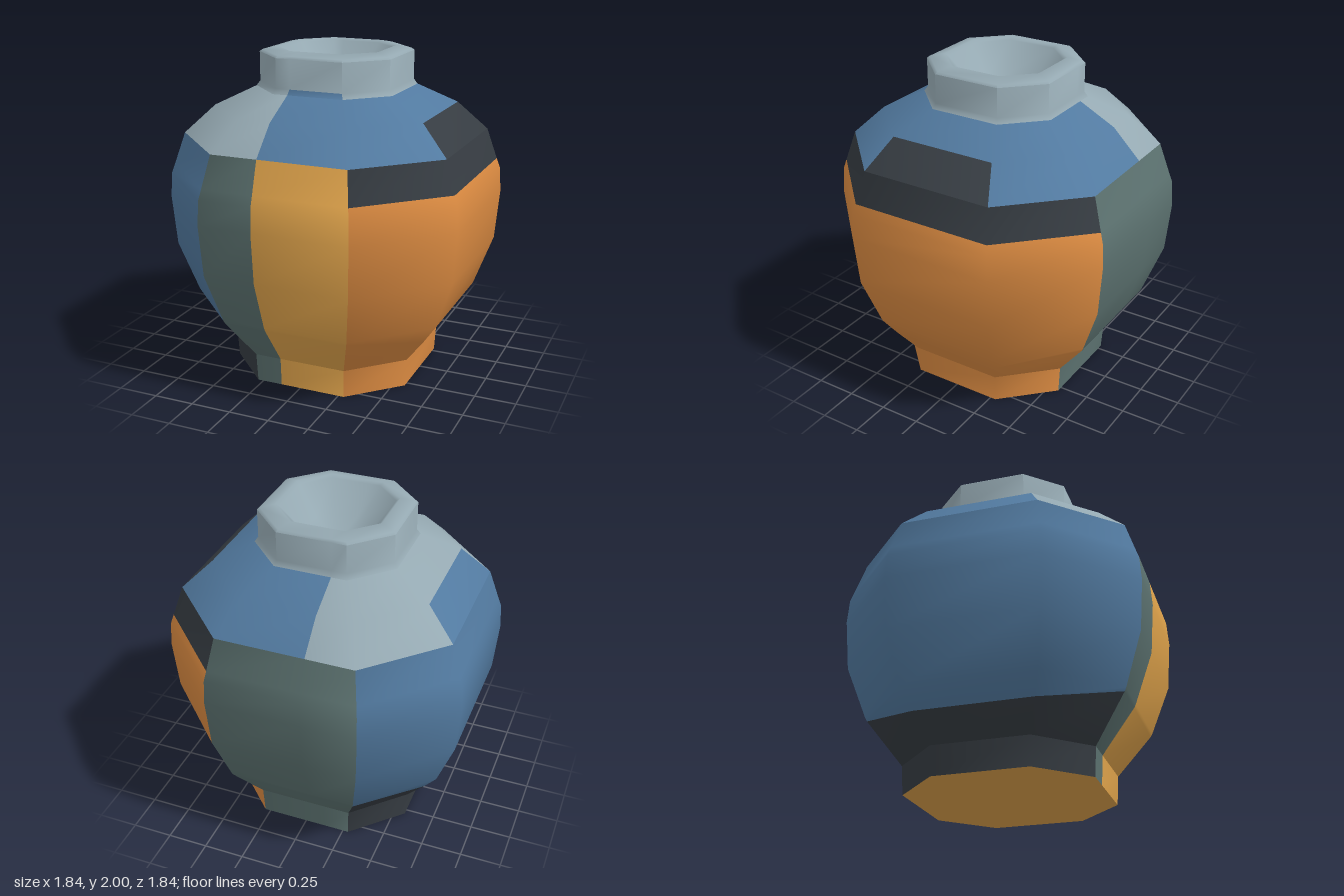
import * as THREE from 'three';
import { toCreasedNormals } from 'three/addons/utils/BufferGeometryUtils.js';

const paint = (name, color) => {
  const m = new THREE.MeshStandardMaterial({ color });
  m.name = name;
  return m;
};

// Eight-sided ring of half-width a, with an extra seam point on the front and back.
// The sides run: 0 front, 1 front corner, 2 right, 3 back corner, 4-5 back,
// 6 back corner, 7 left, 8 front corner, 9 front beside the seam.
function ring(a) {
  const b = a / 2, s = -Math.min(0.125, 0.58 * b);
  return [[s, a], [b, a], [a, b], [a, -b], [b, -a],
    [s, -a], [-b, -a], [-a, -b], [-a, b], [-b, a]];
}

// Each row is [half-width, height], or [half-width, height, half-width, height]
// where the second pair applies to the corners at the sides.
function band(name, rows, materials, pick) {
  const rings = rows.map(([a, y, a2 = a, y2 = y]) => {
    const outer = ring(a), side = ring(a2);
    return outer.map((p, i) => [2, 3, 7, 8].includes(i)
      ? [side[i][0], y2, side[i][1]] : [p[0], y, p[1]]);
  });
  const buckets = materials.map(() => []);
  for (let r = 0; r < rows.length - 1; r++) {
    for (let i = 0; i < 10; i++) {
      const j = (i + 1) % 10, lo = rings[r], hi = rings[r + 1];
      buckets[pick(r, i)].push(...lo[i], ...lo[j], ...hi[j], ...lo[i], ...hi[j], ...hi[i]);
    }
  }
  const geometry = new THREE.BufferGeometry();
  geometry.setAttribute('position', new THREE.Float32BufferAttribute(buckets.flat(), 3));
  let start = 0;
  buckets.forEach((bucket, k) => {
    const count = bucket.length / 3;
    if (count) geometry.addGroup(start, count, k);
    start += count;
  });
  const mesh = new THREE.Mesh(toCreasedNormals(geometry, 1.0), materials);
  mesh.name = name;
  return mesh;
}

export function createModel() {
  const group = new THREE.Group();
  group.name = 'vase';
  const materials = [
    paint('pale grey', 0x95a9b2), paint('blue', 0x527aa0), paint('charcoal', 0x363c42),
    paint('slate green', 0x5c7270), paint('gold', 0xe2a54c), paint('orange', 0xdd8c42),
  ];
  const [PALE, BLUE, DARK, SLATE, GOLD, ORANGE] = [0, 1, 2, 3, 4, 5];

  // Colour of each side, going round from the front
  const footSides = [GOLD, ORANGE, ORANGE, ORANGE, SLATE, SLATE, DARK, DARK, DARK, SLATE];
  const bodySides = [GOLD, ORANGE, ORANGE, ORANGE, SLATE, SLATE, BLUE, BLUE, BLUE, SLATE];

  group.add(band('foot', [[0.57, 0], [0.58, 0.175]], materials, (r, i) => footSides[i]));

  // Belly with a dark hem on the left and a dark collar on the right
  const bodyRows = [[0.58, 0.175], [0.775, 0.44, 0.703, 0.34], [0.785, 0.46], [0.895, 0.77],
    [0.92, 1.08], [0.91, 1.23], [0.89, 1.29], [0.83, 1.48]];
  group.add(band('body', bodyRows, materials, (r, i) => {
    if (r === 0) return footSides[i];
    if (r === bodyRows.length - 2 && i >= 1 && i <= 3) return DARK;
    return bodySides[i];
  }));

  // Two-tone shoulder with a patch on each side
  group.add(band('shoulder', [[0.83, 1.48], [0.66, 1.65], [0.435, 1.765]], materials, (r, i) => {
    if (r === 0 && i === 2) return DARK;
    if (r === 0 && i === 7) return BLUE;
    return i < 5 ? BLUE : PALE;
  }));

  // Neck, rim and the funnel inside
  const neckRows = [[0.435, 1.765], [0.415, 1.795], [0.415, 1.97], [0.4, 1.982], [0.32, 2],
    [0.3, 1.985], [0.18, 1.82], [0.003, 1.74]];
  group.add(band('neck', neckRows, materials, (r, i) => (r === 0 && i === 0 ? BLUE : PALE)));

  // Flat underside
  const outline = new THREE.Shape(ring(0.57).map(([x, z]) => new THREE.Vector2(x, z)));
  const base = new THREE.Mesh(new THREE.ShapeGeometry(outline).rotateX(Math.PI / 2), materials[GOLD]);
  base.name = 'base';
  group.add(base);

  return group;
}
